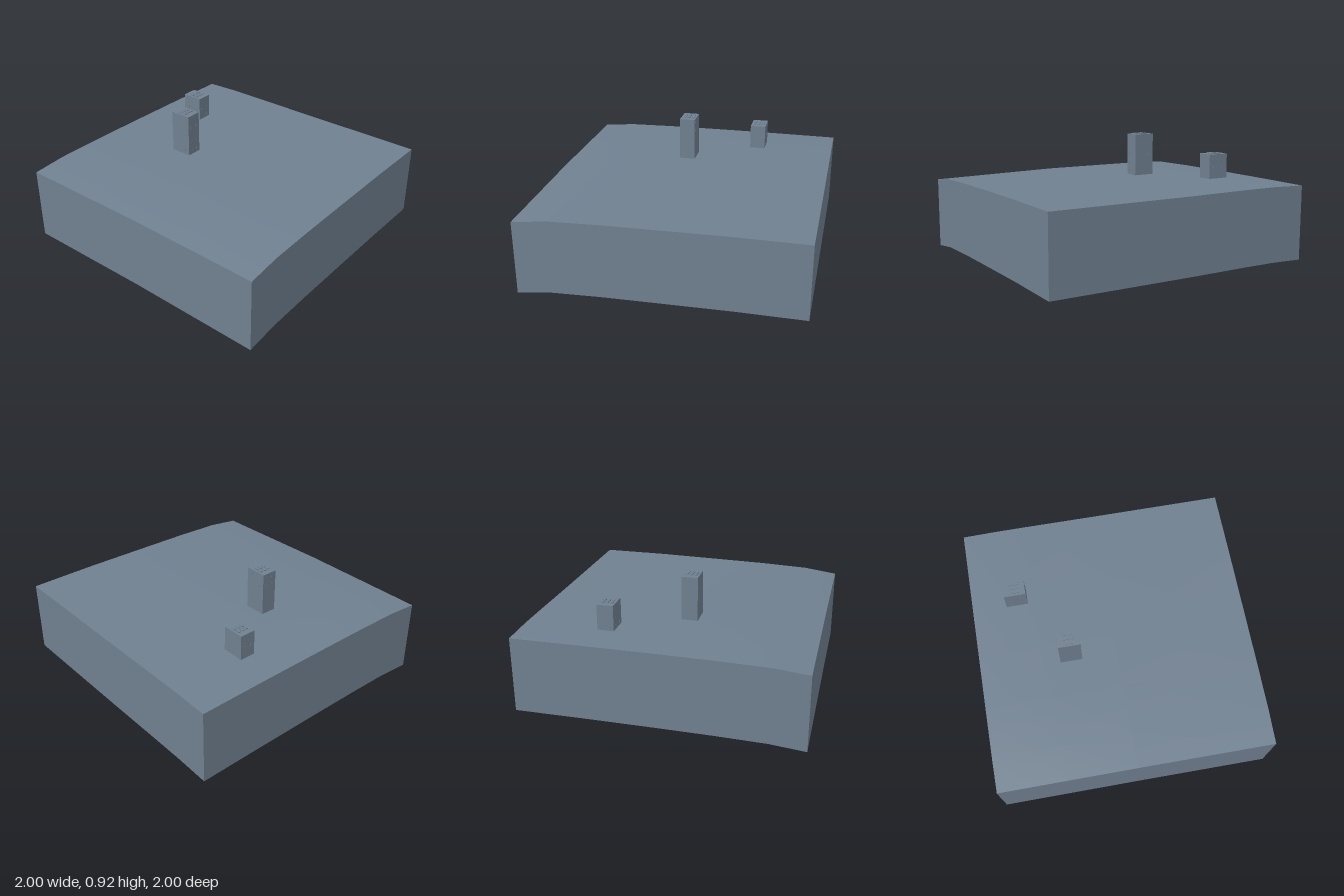
import * as THREE from 'three';

const slate = new THREE.MeshStandardMaterial({ color: 0x708090, side: THREE.DoubleSide });
slate.name = 'slate';

// Ground heights sampled on a coarse grid
const XS = [-1, -0.75, -0.4, 0, 0.5, 1];
const ZS = [-1, -0.75, -0.5, 0, 1];
const HEIGHTS = [
  [0.562, 0.585, 0.593, 0.597, 0.599, 0.598],
  [0.562, 0.59, 0.598, 0.602, 0.61, 0.606],
  [0.562, 0.59, 0.598, 0.602, 0.61, 0.606],
  [0.562, 0.585, 0.593, 0.598, 0.602, 0.602],
  [0.54, 0.572, 0.585, 0.592, 0.6, 0.6],
];
const WALL = 0.54;

function meshFrom(name, positions, index) {
  const geo = new THREE.BufferGeometry();
  geo.setAttribute('position', new THREE.Float32BufferAttribute(positions, 3));
  geo.setIndex(index);
  geo.computeVertexNormals();
  const mesh = new THREE.Mesh(geo, slate);
  mesh.name = name;
  return mesh;
}

const groundPoint = (i, j) => [XS[i], HEIGHTS[j][i], ZS[j]];

// Gently rolling top surface
function createGround() {
  const pos = [], index = [], n = XS.length;
  ZS.forEach((z, j) => XS.forEach((x, i) => pos.push(...groundPoint(i, j))));
  for (let j = 0; j < ZS.length - 1; j++) {
    for (let i = 0; i < n - 1; i++) {
      const a = j * n + i, b = a + 1, c = a + n, d = c + 1;
      index.push(a, c, b, b, c, d);
    }
  }
  return meshFrom('groundSurface', pos, index);
}

// Skirt wall hanging from one edge; the points run left to right seen from outside
function createWall(name, points) {
  const pos = [], index = [];
  points.forEach(([x, y, z], k) => {
    pos.push(x, y, z, x, y - WALL, z);
    if (k > 0) {
      const a = 2 * (k - 1);
      index.push(a, a + 1, a + 2, a + 2, a + 1, a + 3);
    }
  });
  return meshFrom(name, pos, index);
}

function box(name, w, h, d, x, y, z) {
  const mesh = new THREE.Mesh(new THREE.BoxGeometry(w, h, d), slate);
  mesh.name = name;
  mesh.position.set(x, y, z);
  return mesh;
}

// Rectangular tower with shallow window plates and rooftop units
function createTower(name, x, z, top, floors) {
  const W = 0.116, D = 0.16, base = 0.6, roof = top - 0.006;
  const tower = new THREE.Group();
  tower.name = name;
  tower.position.set(x, 0, z);
  tower.add(box('towerBody', W, roof - base, D, 0, (roof + base) / 2, 0));
  for (const rx of [-0.032, 0, 0.032]) {
    for (const rz of [-0.02, 0.02]) {
      tower.add(box('roofUnit', 0.018, 0.006, 0.034, rx, roof + 0.003, rz));
    }
  }
  for (let f = 0; f < floors; f++) {
    const y = base + ((f + 0.5) * (roof - base)) / floors;
    for (const side of [-1, 1]) {
      for (const k of [-1, 1]) {
        tower.add(box('window', 0.012, 0.014, 0.002, k * 0.028, y, side * D / 2));
        tower.add(box('window', 0.002, 0.014, 0.012, side * W / 2, y, k * 0.04));
      }
    }
  }
  return tower;
}

export function createModel() {
  const model = new THREE.Group();
  model.name = 'terrainBlock';
  const lastX = XS.length - 1, lastZ = ZS.length - 1;
  model.add(
    createGround(),
    createWall('frontWall', XS.map((_, i) => groundPoint(i, lastZ))),
    createWall('backWall', XS.map((_, i) => groundPoint(i, 0)).reverse()),
    createWall('rightWall', ZS.map((_, j) => groundPoint(0, j))),
    createWall('leftWall', ZS.map((_, j) => groundPoint(lastX, j)).reverse()),
    createTower('tallTower', -0.088, -0.335, 0.922, 5),
    createTower('shortTower', 0.414, -0.665, 0.796, 3),
  );
  return model;
}
